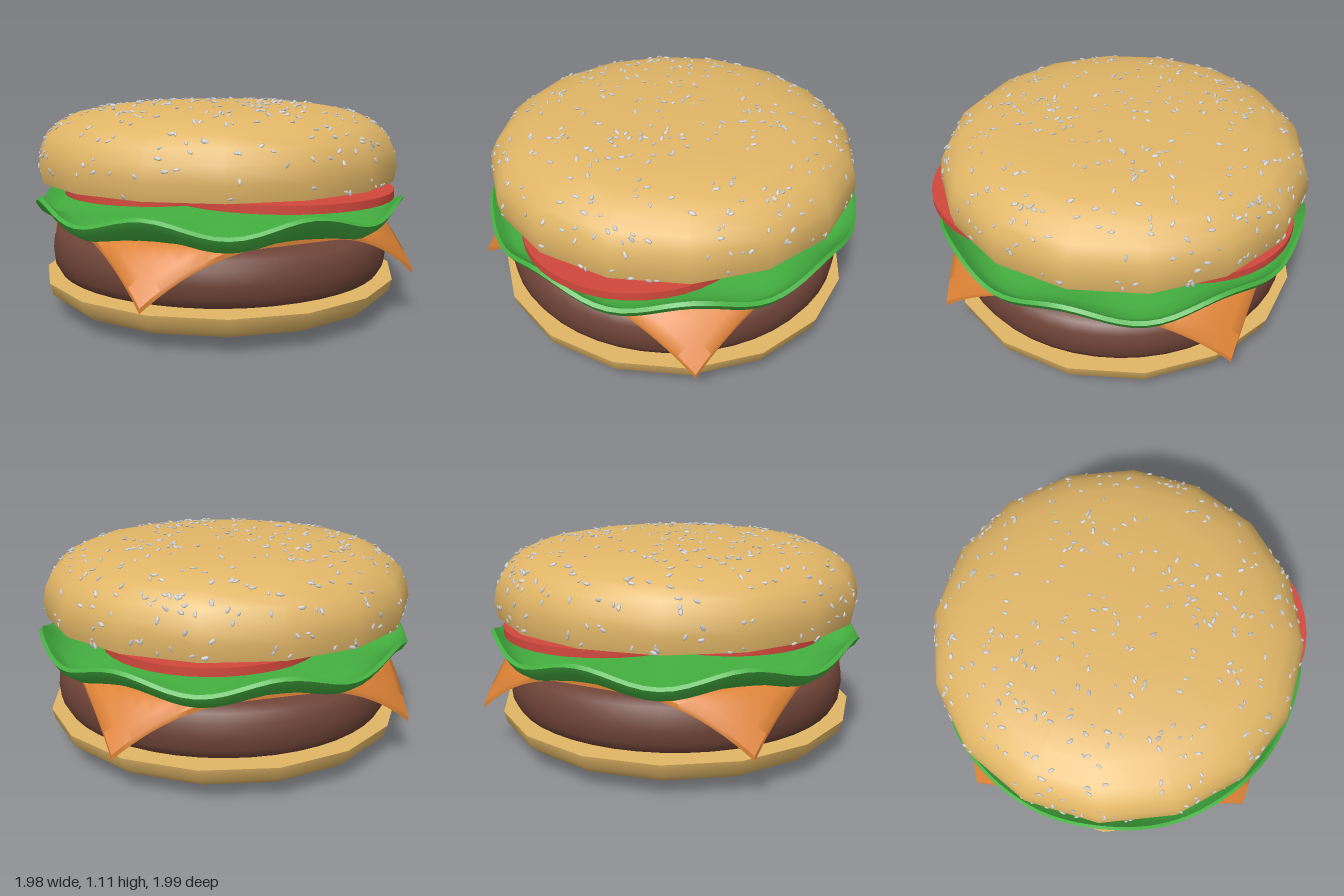
import * as THREE from 'three';
import { mergeGeometries, toCreasedNormals } from 'three/addons/utils/BufferGeometryUtils.js';

const SIDES = 16;
const TOP_BUN = [[0, 0.7], [0.9, 0.69], [0.955, 0.7], [0.97, 0.78], [0.955, 0.86], [0.92, 0.93],
  [0.85, 0.99], [0.74, 1.04], [0.58, 1.07], [0.35, 1.09], [0, 1.097]];
const COLORS = { bun: 0xe0b566, patty: 0x6e4337, cheese: 0xdc8236, lettuce: 0x45b141, tomato: 0xd2483c };

function part(name, geometry, color = 0xcccccc) {
  const mesh = new THREE.Mesh(geometry, new THREE.MeshStandardMaterial({ color }));
  mesh.name = name;
  return mesh;
}

// Revolved solid; profile runs from the bottom centre to the top centre
function lathe(profile, sides, crease = 0.75) {
  const g = new THREE.LatheGeometry(profile.map(([x, y]) => new THREE.Vector2(x, y)), sides);
  return toCreasedNormals(g, crease);
}

// Move every vertex by a rule, then shade again
function deform(geometry, rule, crease) {
  const pos = geometry.attributes.position;
  const v = new THREE.Vector3();
  for (let i = 0; i < pos.count; i++) {
    rule(v.fromBufferAttribute(pos, i));
    pos.setXYZ(i, v.x, v.y, v.z);
  }
  return toCreasedNormals(geometry, crease);
}

// Square slice whose corners bend down over the patty
function cheeseGeometry() {
  const g = new THREE.BoxGeometry(1.66, 0.024, 1.66, 28, 1, 28);
  return deform(g, v => {
    const r = Math.hypot(v.x, v.z);
    const t = Math.max(0, r - 0.86) / 0.314;
    const k = r > 0 ? (r - 0.12 * t) / r : 1;
    v.set(v.x * k, v.y + 0.487 - 0.25 * t ** 1.15, v.z * k);
  }, 0.8);
}

// Shallow leaf with eight waves around its rim
function lettuceGeometry() {
  const profile = [[0, 0.49], [0.7, 0.485], [0.84, 0.485], [0.92, 0.505], [0.965, 0.54], [0.99, 0.58],
    [0.975, 0.595], [0.94, 0.56], [0.9, 0.53], [0.82, 0.51], [0.7, 0.505], [0, 0.51]];
  const g = new THREE.LatheGeometry(profile.map(([x, y]) => new THREE.Vector2(x, y)), 96);
  return deform(g, v => {
    const w = THREE.MathUtils.smoothstep(Math.hypot(v.x, v.z), 0.75, 0.98);
    v.y += 0.036 * w * Math.cos(8 * Math.atan2(v.x, v.z));
  }, 0.9);
}

// Seeds spread evenly by area over the faceted crown
function seedsGeometry(count) {
  let state = 7;
  const rand = () => (state = (state * 16807) % 2147483647) / 2147483647;
  const bands = TOP_BUN.slice(3).map((b, i) => ({ a: TOP_BUN[i + 2], b }));
  const areas = bands.map(({ a, b }) => (a[0] + b[0]) * Math.hypot(a[0] - b[0], a[1] - b[1]));
  const total = areas.reduce((s, x) => s + x, 0);
  const seed = new THREE.SphereGeometry(1, 6, 4);
  const up = new THREE.Vector3(0, 1, 0);
  const step = (2 * Math.PI) / SIDES;
  const list = [];
  for (let i = 0; i < count; i++) {
    let pick = rand() * total, k = 0;
    while (k < bands.length - 1 && pick > areas[k]) pick -= areas[k++];
    const { a, b } = bands[k];
    // Weight towards the wider end of the band
    const u = rand();
    const r = Math.sqrt(a[0] * a[0] + (b[0] * b[0] - a[0] * a[0]) * u);
    const f = Math.abs(b[0] - a[0]) > 1e-6 ? (r - a[0]) / (b[0] - a[0]) : u;
    const y = a[1] + (b[1] - a[1]) * f;
    const angle = rand() * 2 * Math.PI;
    const flat = Math.cos(step / 2) / Math.cos((angle % step) - step / 2);
    const n = new THREE.Vector3(Math.sin(angle) * (b[1] - a[1]), a[0] - b[0], Math.cos(angle) * (b[1] - a[1])).normalize();
    const q = new THREE.Quaternion().setFromUnitVectors(up, n);
    q.multiply(new THREE.Quaternion().setFromEuler(
      new THREE.Euler((rand() - 0.5) * 0.9, rand() * 2 * Math.PI, (rand() - 0.5) * 0.9, 'YXZ')));
    const p = new THREE.Vector3(Math.sin(angle) * r * flat, y, Math.cos(angle) * r * flat).addScaledVector(n, 0.002);
    const s = 0.75 + rand() * 0.45;
    list.push(seed.clone().applyMatrix4(
      new THREE.Matrix4().compose(p, q, new THREE.Vector3(0.019 * s, 0.006 * s, 0.009 * s))));
  }
  return mergeGeometries(list);
}

export function createModel() {
  const model = new THREE.Group();
  model.name = 'hamburger';

  const bottomBun = part('bottomBun', lathe([[0, 0], [0.35, 0.005], [0.6, 0.02], [0.78, 0.045],
    [0.89, 0.08], [0.94, 0.125], [0.955, 0.185], [0, 0.185]], SIDES), COLORS.bun);

  const patty = part('patty', lathe([[0, 0.19], [0.82, 0.19], [0.875, 0.21], [0.9, 0.255], [0.907, 0.32],
    [0.9, 0.385], [0.875, 0.43], [0.82, 0.455], [0, 0.462]], 48), COLORS.patty);

  const cheese = part('cheeseSlice', cheeseGeometry(), COLORS.cheese);
  cheese.rotation.y = 0.015;
  const lettuce = part('lettuce', lettuceGeometry(), COLORS.lettuce);
  model.add(bottomBun, patty, cheese, lettuce);

  // Overlapping tomato slices: x, y, z, radius
  const tomatoes = new THREE.Group();
  tomatoes.name = 'tomatoSlices';
  for (const [x, y, z, r] of [[0.13, 0.665, 0.42, 0.58], [-0.33, 0.637, -0.07, 0.5], [0.17, 0.663, -0.4, 0.54]]) {
    const slice = part('tomatoSlice', toCreasedNormals(new THREE.CylinderGeometry(r, r, 0.04, 40), 0.6), COLORS.tomato);
    slice.position.set(x, y, z);
    tomatoes.add(slice);
  }
  model.add(tomatoes);

  const crown = new THREE.Group();
  crown.name = 'topBunWithSeeds';
  crown.add(part('topBun', lathe(TOP_BUN, SIDES), COLORS.bun), part('sesameSeeds', seedsGeometry(400)));
  crown.position.set(-0.01, 0, -0.01);
  model.add(crown);
  return model;
}
